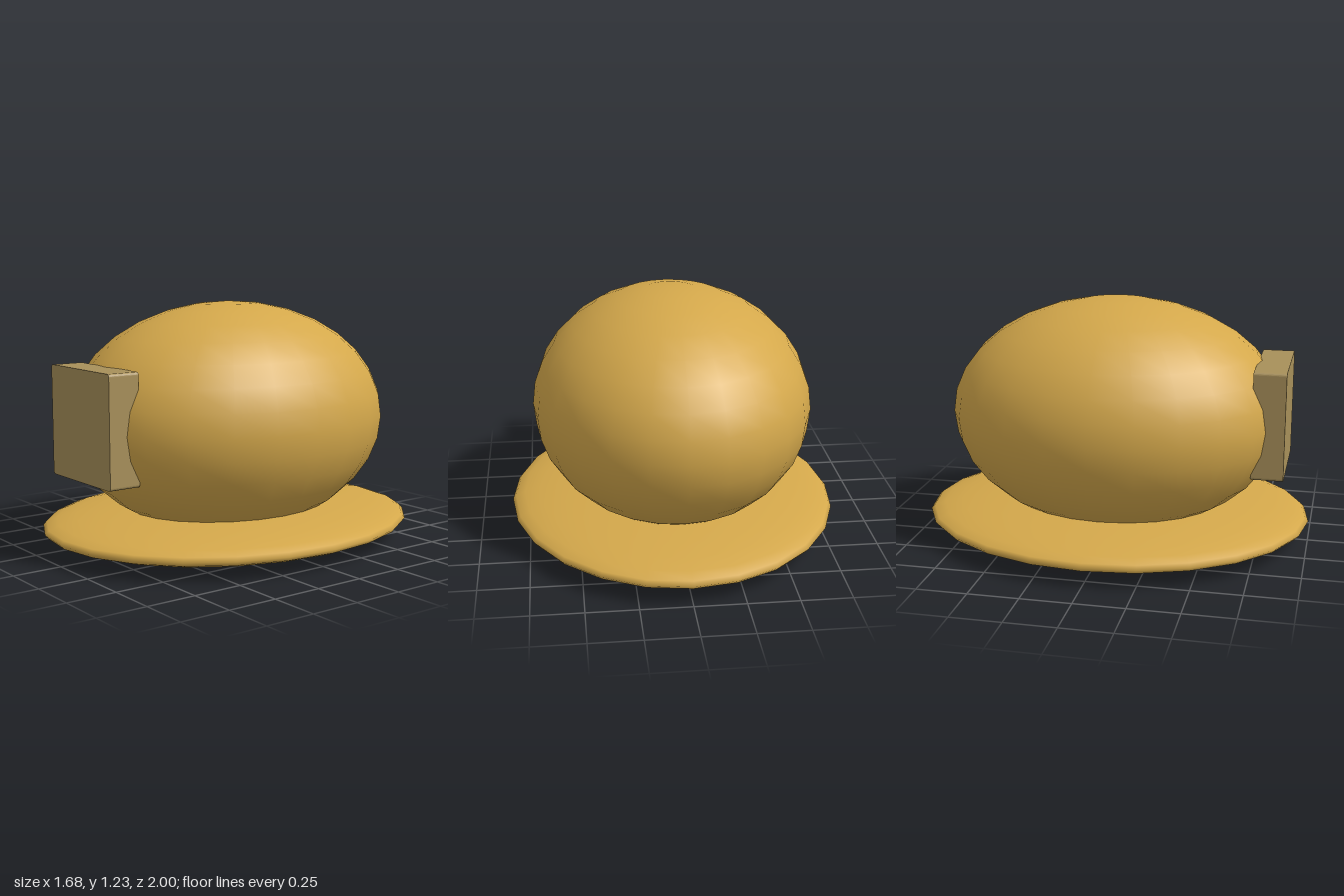
import * as THREE from 'three';

export function createModel() {
  const model = new THREE.Group();
  const gold = new THREE.MeshStandardMaterial({ color: 0xd4a84b });
  gold.name = 'gold';
  const khaki = new THREE.MeshStandardMaterial({ color: 0xa8905a });
  khaki.name = 'khaki';

  const add = (name, geometry, material) => {
    const mesh = new THREE.Mesh(geometry, material);
    mesh.name = name;
    model.add(mesh);
  };
  const ellipsoid = (rx, ry, rz, y) =>
    new THREE.SphereGeometry(1, 24, 16).scale(rx, ry, rz).translate(0, y, 0);

  // Flattened brim and the egg-shaped crown sunk into it
  add('brim', ellipsoid(0.84, 0.103, 1, 0.103), gold);
  add('crown', ellipsoid(0.712, 0.592, 0.858, 0.64), gold);

  // Front plate: square with slightly rounded corners, set into the crown
  const w = 0.268, h = 0.272, r = 0.015;
  const plate = new THREE.Shape();
  plate.absarc(w - r, h - r, r, 0, Math.PI / 2);
  plate.absarc(-w + r, h - r, r, Math.PI / 2, Math.PI);
  plate.absarc(-w + r, -h + r, r, Math.PI, Math.PI * 1.5);
  plate.absarc(w - r, -h + r, r, Math.PI * 1.5, Math.PI * 2);
  const plateGeometry = new THREE.ExtrudeGeometry(plate, { depth: 0.16, bevelEnabled: false, curveSegments: 4 });
  add('frontPlate', plateGeometry.translate(0, 0.667, 0.72), khaki);

  return model;
}
